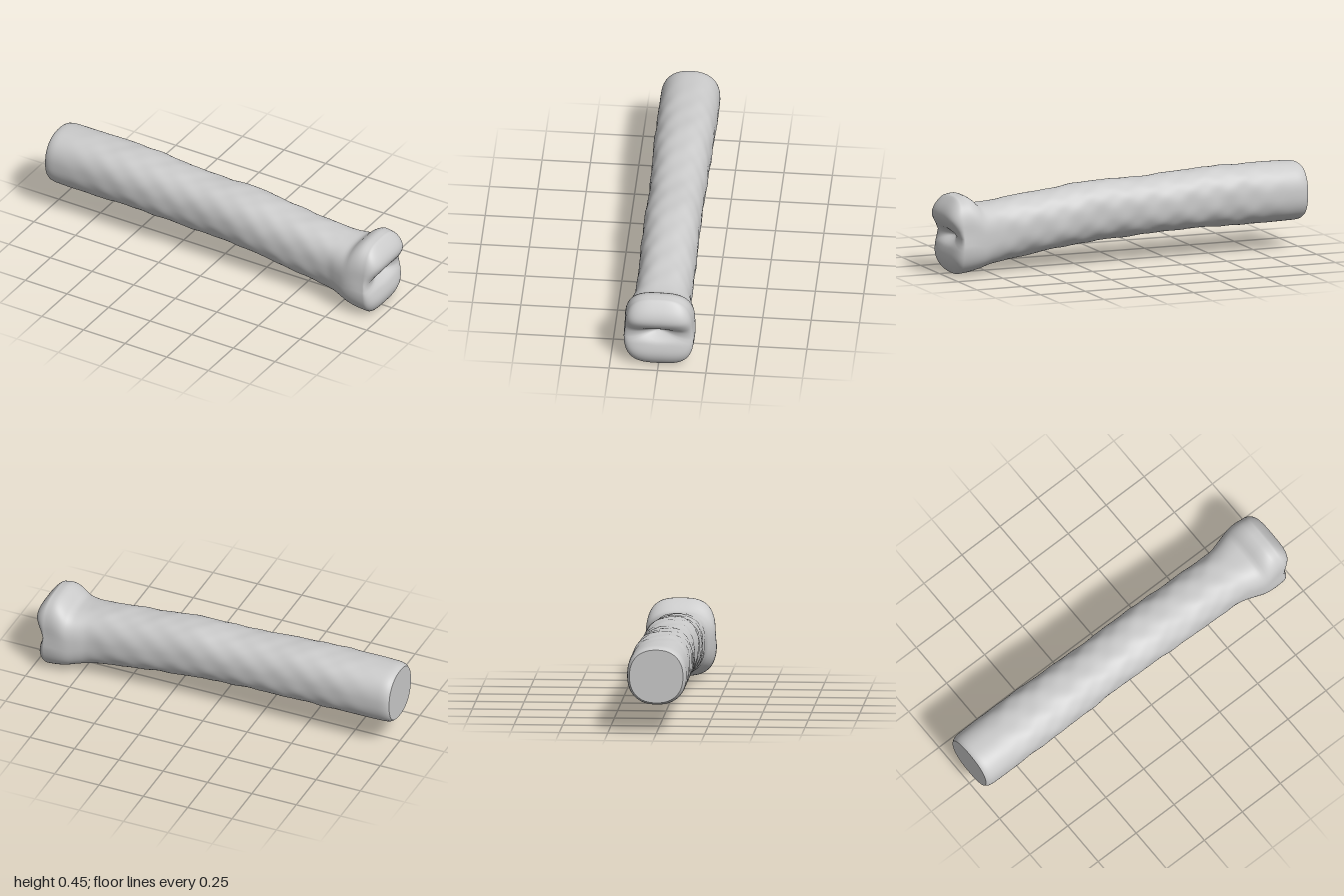
import * as THREE from 'three';

const SIDES = 72;

// Stations along the bone: x, top y, bottom y, half depth, squareness
const STATIONS = [
  [-1, 0.44, 0.165, 0.138, 2.3], [-0.985, 0.451, 0.155, 0.148, 2.3], [-0.95, 0.456, 0.151, 0.153, 2.35],
  [-0.7, 0.458, 0.147, 0.153, 2.35], [-0.5, 0.455, 0.148, 0.151, 2.35], [-0.3, 0.441, 0.143, 0.147, 2.35],
  [-0.1, 0.431, 0.133, 0.143, 2.3], [0.1, 0.431, 0.124, 0.146, 2.3], [0.2, 0.425, 0.115, 0.146, 2.3],
  [0.4, 0.4, 0.091, 0.146, 2.3], [0.6, 0.38, 0.062, 0.144, 2.4], [0.7, 0.367, 0.049, 0.148, 2.5],
  [0.76, 0.359, 0.04, 0.164, 2.7], [0.81, 0.361, 0.028, 0.178, 2.9], [0.85, 0.395, 0.018, 0.184, 3],
  [0.89, 0.415, 0.01, 0.185, 3], [0.93, 0.411, 0.005, 0.182, 3],
];

// Outline of the two-lobed end: y, x
const END = [[0, 0.955], [0.04, 0.975], [0.09, 0.981], [0.15, 0.968], [0.205, 0.948],
  [0.25, 0.975], [0.3, 1], [0.35, 0.993], [0.42, 0.955]];

// Smooth interpolation of column c of a table keyed on column 0
function sample(table, t, c) {
  const last = table.length - 1;
  let i = 0;
  while (i < last - 1 && t > table[i + 1][0]) i++;
  const slope = (k) => {
    const a = table[Math.max(k - 1, 0)], b = table[Math.min(k + 1, last)];
    return (b[c] - a[c]) / (b[0] - a[0]);
  };
  const [p, q] = [table[i], table[i + 1]];
  const h = q[0] - p[0], u = THREE.MathUtils.clamp((t - p[0]) / h, 0, 1);
  const u2 = u * u, u3 = u2 * u;
  return (2 * u3 - 3 * u2 + 1) * p[c] + (u3 - 2 * u2 + u) * h * slope(i)
    + (3 * u2 - 2 * u3) * q[c] + (u3 - u2) * h * slope(i + 1);
}

const bell = (v, centre, width) => Math.exp(-(((v - centre) / width) ** 2));
const smooth = THREE.MathUtils.smoothstep;

// Gentle worn-surface relief, fading out at both ends
function relief(x, a) {
  const fade = smooth(x, -0.98, -0.6) * (1 - smooth(x, 0.6, 0.78));
  const wave = Math.sin(9 * x + 3 * a) + Math.sin(23 * x - 4 * a + 1)
    + 0.8 * Math.sin(37 * x + 7 * a + 2) + 0.6 * Math.sin(51 * x - 9 * a);
  return 1 + 0.008 * fade * wave;
}

// One closed cross-section at x
function section(x) {
  const [top, bottom, half, n] = [1, 2, 3, 4].map((c) => sample(STATIONS, x, c));
  const mid = (top + bottom) / 2;
  const ring = [];
  for (let j = 0; j < SIDES; j++) {
    const a = (j / SIDES) * Math.PI * 2;
    const c = Math.cos(a), s = Math.sin(a);
    const r = relief(x, a);
    const y = mid + Math.sign(s) * Math.abs(s) ** (2 / n) * r * (top - bottom) / 2;
    let z = Math.sign(c) * Math.abs(c) ** (2 / n) * r * half;
    // upper lobe slightly narrower, with a shallow waist below it
    const head = smooth(x, 0.8, 0.92);
    z *= 1 - head * (0.04 * smooth(y, 0.2, 0.3) + 0.04 * bell(y, 0.225, 0.04));
    ring.push([x, y, z]);
  }
  return ring;
}

// Shaft rings followed by rings closing over the two-lobed end
function boneRings() {
  const rings = [section(-1), section(-0.993)];
  for (let x = -0.985; x < 0.929; x += 0.015) rings.push(section(x));
  const rim = section(0.93);
  rings.push(rim);
  const steps = 28;
  for (let k = 1; k <= steps; k++) {
    const s = Math.cos((k / steps) * Math.PI / 2) + (k === steps ? 0.001 : 0);
    const rise = Math.sqrt(1 - Math.min(1, s) ** 5);
    rings.push(rim.map(([x, py, pz]) => {
      const y = 0.208 + (py - 0.208) * s, z = pz * s;
      const pit = 0.035 * bell(y, 0.207, 0.03) * bell(z, 0, 0.08);
      return [x + (sample(END, y, 1) - x) * rise - pit, y, z];
    }));
  }
  return rings;
}

function loft(rings) {
  const index = [];
  for (let i = 0; i < rings.length - 1; i++) {
    for (let j = 0; j < SIDES; j++) {
      const k = (j + 1) % SIDES;
      const a = i * SIDES + j, b = i * SIDES + k;
      index.push(a, a + SIDES, b, b, a + SIDES, b + SIDES);
    }
  }
  const geometry = new THREE.BufferGeometry();
  geometry.setAttribute('position', new THREE.Float32BufferAttribute(rings.flat(2), 3));
  geometry.setIndex(index);
  geometry.computeVertexNormals();
  return geometry;
}

export function createModel() {
  const group = new THREE.Group();
  group.name = 'bone';
  const material = new THREE.MeshStandardMaterial({ color: 0xcccccc });

  const shaft = new THREE.Mesh(loft(boneRings()), material);
  shaft.name = 'shaftAndKnuckle';

  // Flat sawn end, facing -x
  const outline = section(-1).map(([, y, z]) => new THREE.Vector2(z, y));
  const cut = new THREE.Mesh(new THREE.ShapeGeometry(new THREE.Shape(outline)), material);
  cut.name = 'cutEnd';
  cut.rotation.y = -Math.PI / 2;
  cut.position.x = -1;

  group.add(shaft, cut);
  return group;
}
